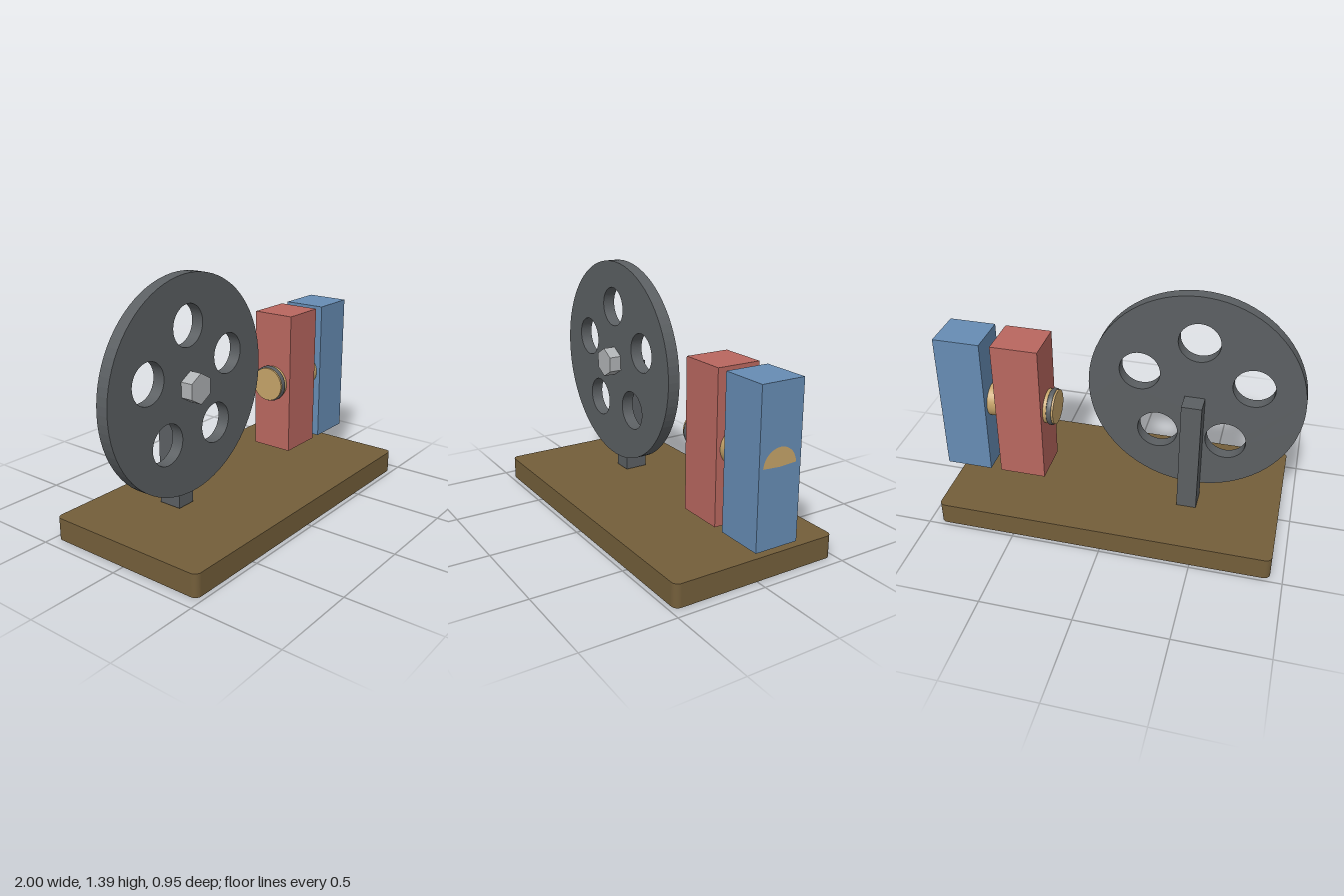
import * as THREE from 'three';

function material(name, color) {
  const m = new THREE.MeshStandardMaterial({ color });
  m.name = name;
  return m;
}

export function createModel() {
  const group = new THREE.Group();
  const wood = material('wood', 0x735e3a);
  const iron = material('darkIron', 0x5b5f62);
  const steel = material('lightSteel', 0xb0b3b5);
  const red = material('redBlock', 0xb9675f);
  const blue = material('blueBlock', 0x668cb4);
  const brass = material('brass', 0xc5a369);

  function add(name, geometry, mat, x = 0, y = 0, z = 0) {
    const mesh = new THREE.Mesh(geometry, mat);
    mesh.name = name;
    mesh.position.set(x, y, z);
    group.add(mesh);
    return mesh;
  }

  // Rounded rectangle centred on the origin
  function roundedRect(w, h, r) {
    const s = new THREE.Shape();
    const x = w / 2 - r, y = h / 2 - r;
    s.absarc(x, y, r, 0, Math.PI / 2);
    s.absarc(-x, y, r, Math.PI / 2, Math.PI);
    s.absarc(-x, -y, r, Math.PI, Math.PI * 1.5);
    s.absarc(x, -y, r, Math.PI * 1.5, Math.PI * 2);
    s.closePath();
    return s;
  }

  // Base plate with rounded corners
  const plate = new THREE.ExtrudeGeometry(roundedRect(1.87, 0.955, 0.035),
    { depth: 0.125, bevelEnabled: false, curveSegments: 6 });
  plate.rotateX(-Math.PI / 2);
  add('base', plate, wood, 0.003, 0, -0.003);

  // Flywheel with five round holes
  const disc = new THREE.Shape().absarc(0, 0, 0.582, 0, Math.PI * 2);
  for (let i = 0; i < 5; i++) {
    const a = THREE.MathUtils.degToRad(91.8 + 72 * i);
    disc.holes.push(new THREE.Path().absarc(
      0.32 * Math.cos(a), 0.32 * Math.sin(a), 0.111, 0, Math.PI * 2, true));
  }
  const wheel = new THREE.ExtrudeGeometry(disc,
    { depth: 0.07, bevelEnabled: false, curveSegments: 40 });
  add('flywheel', wheel, iron, -0.418, 0.806, -0.055);

  // Hexagonal bolt head and support post
  const hex = new THREE.CylinderGeometry(0.083, 0.083, 0.07, 6).toNonIndexed();
  hex.computeVertexNormals();
  hex.rotateX(Math.PI / 2);
  add('hexBolt', hex, steel, -0.418, 0.806, 0.05);
  add('supportPost', new THREE.BoxGeometry(0.11, 0.665, 0.132), iron, -0.42, 0.4625, -0.096);

  // Two bearing blocks
  add('innerBlock', new THREE.BoxGeometry(0.265, 0.825, 0.247), red, 0.538, 0.608, -0.059);
  add('outerBlock', new THREE.BoxGeometry(0.265, 0.825, 0.247), blue, 0.865, 0.608, -0.059);

  // Shaft through both blocks, along x
  const axisY = 0.608, axisZ = -0.055;
  function shaftPart(name, r, x0, x1, mat) {
    const g = new THREE.CylinderGeometry(r, r, x1 - x0, 40);
    g.rotateZ(Math.PI / 2);
    add(name, g, mat, (x0 + x1) / 2, axisY, axisZ);
  }
  shaftPart('shaft', 0.098, 0.347, 0.99, brass);

  // Retaining ring with softened rims
  const ring = new THREE.LatheGeometry([
    [0.09, -0.014], [0.1, -0.014], [0.105, -0.009],
    [0.105, 0.009], [0.1, 0.014], [0.09, 0.014],
  ].map(([r, y]) => new THREE.Vector2(r, y)), 40);
  ring.rotateZ(Math.PI / 2);
  add('retainingRing', ring, iron, 0.372, axisY, axisZ);

  // Shaft end showing as a half disc on the outer face
  const half = new THREE.CircleGeometry(0.098, 24, 0.06, Math.PI - 0.12);
  half.rotateY(Math.PI / 2);
  add('shaftEnd', half, brass, 0.9995, axisY, axisZ);

  return group;
}
